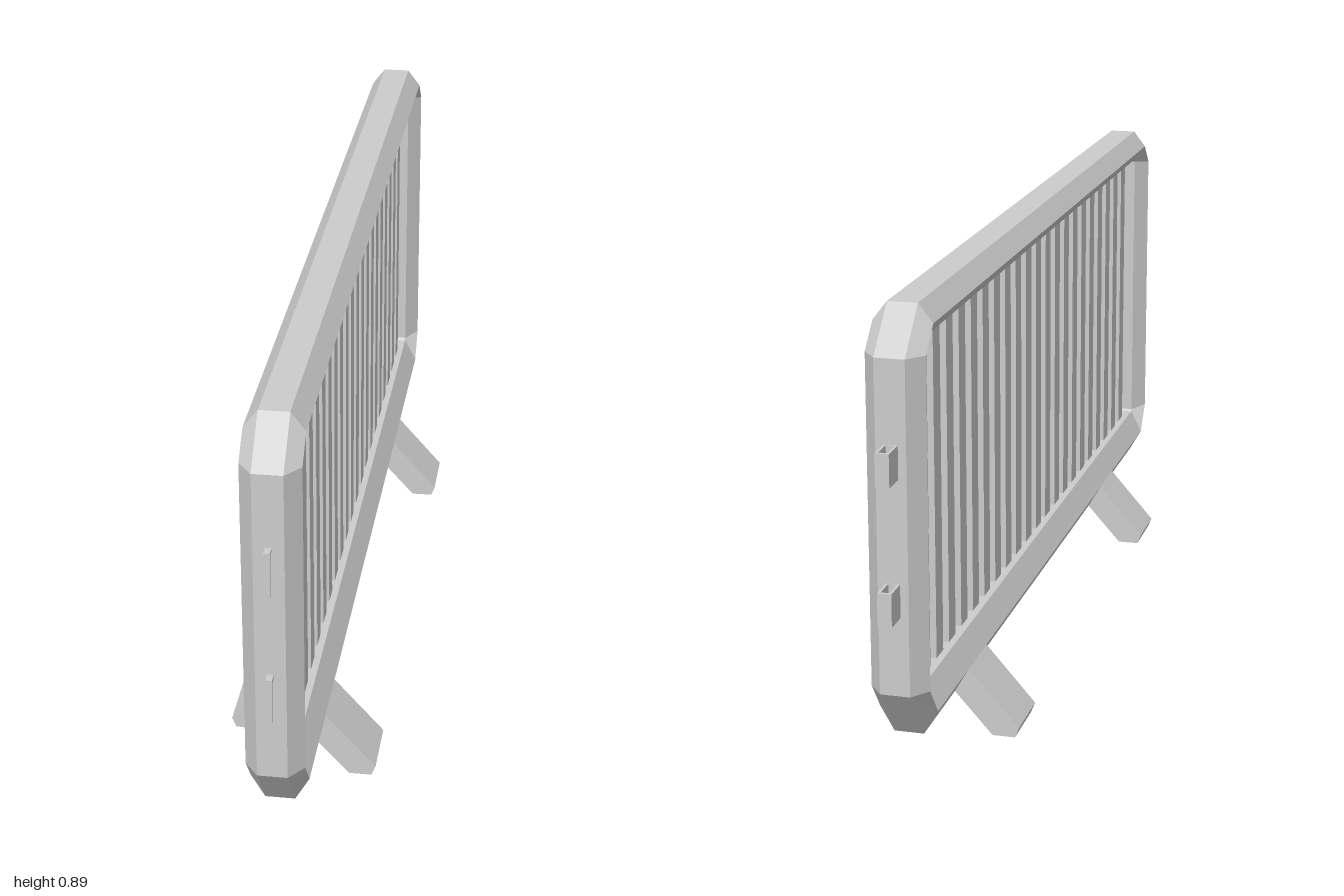
import * as THREE from 'three';

const material = new THREE.MeshStandardMaterial({ color: 0xcccccc, flatShading: true });

function add(parent, name, geometry, x = 0, y = 0, z = 0) {
  const mesh = new THREE.Mesh(geometry, material);
  mesh.name = name;
  mesh.position.set(x, y, z);
  parent.add(mesh);
  return mesh;
}

// Rectangle with cut corners in the z-y plane, anticlockwise seen from +x
function ring(x, front, back, bottom, top, cornerFront, cornerBack, cornerBottom, cornerTop) {
  return [
    [cornerFront, bottom], [cornerBack, bottom], [back, cornerBottom], [back, cornerTop],
    [cornerBack, top], [cornerFront, top], [front, cornerTop], [front, cornerBottom],
  ].map(([z, y]) => [x, y, z]);
}

// Hexagonal section carried around the cut-corner rectangle
function frameGeometry() {
  const outer = (x) => ring(x, 0.98, -0.95, 0.085, 0.89, 0.9, -0.87, 0.19, 0.81);
  const ridge = (x) => ring(x, 0.945, -0.915, 0.132, 0.855, 0.9, -0.87, 0.19, 0.81);
  const inner = (x) => ring(x, 0.91, -0.88, 0.18, 0.82, 0.905, -0.875, 0.185, 0.815);
  const rings = [outer(0.028), ridge(0.055), inner(0.028), inner(-0.028), ridge(-0.055), outer(-0.028)];
  const positions = [];
  rings.forEach((current, k) => {
    const next = rings[(k + 1) % rings.length];
    current.forEach((a, i) => {
      const j = (i + 1) % current.length;
      positions.push(...a, ...current[j], ...next[j], ...a, ...next[j], ...next[i]);
    });
  });
  const geometry = new THREE.BufferGeometry();
  geometry.setAttribute('position', new THREE.Float32BufferAttribute(positions, 3));
  geometry.computeVertexNormals();
  return geometry;
}

// Slanted foot, side = 1 leans to +x and -1 to -x
function footGeometry(side) {
  const outline = [[0, 0.11], [0.024, 0.085], [0.1, 0], [0.144, 0], [0.152, 0.02], [0.054, 0.132], [0.02, 0.14]];
  const shape = new THREE.Shape(outline.map(([x, y]) => new THREE.Vector2(x * side, y)));
  return new THREE.ExtrudeGeometry(shape, { depth: 0.123, bevelEnabled: false });
}

// Square eye, open from top to bottom
function eyeGeometry() {
  const rectangle = (Type, w, y0, y1) => new Type([
    new THREE.Vector2(-w, y0), new THREE.Vector2(w, y0), new THREE.Vector2(w, y1), new THREE.Vector2(-w, y1),
  ]);
  const shape = rectangle(THREE.Shape, 0.013, -0.005, 0.05);
  shape.holes.push(rectangle(THREE.Path, 0.008, 0.002, 0.044));
  const geometry = new THREE.ExtrudeGeometry(shape, { depth: 0.062, bevelEnabled: false });
  return geometry.rotateX(-Math.PI / 2);
}

export function createModel() {
  const model = new THREE.Group();
  model.name = 'crowdBarrier';

  add(model, 'frame', frameGeometry());

  // Upright bars
  const bars = new THREE.Group();
  bars.name = 'bars';
  model.add(bars);
  const barGeometry = new THREE.BoxGeometry(0.03, 0.67, 0.043);
  for (let i = 0; i < 21; i++) add(bars, 'bar', barGeometry, 0, 0.5, 0.837 - i * 0.0821);

  // Two pairs of splayed feet, each pair meeting at z and tied by a thin rod
  const rodGeometry = new THREE.CylinderGeometry(0.004, 0.004, 0.17, 8).rotateZ(Math.PI / 2);
  for (const z of [0.57, -0.543]) {
    const pair = new THREE.Group();
    pair.name = 'footPair';
    model.add(pair);
    add(pair, 'leftFoot', footGeometry(1), 0, 0, z);
    add(pair, 'rightFoot', footGeometry(-1), 0, 0, z - 0.123);
    add(pair, 'tieRod', rodGeometry, 0, 0.059, z);
  }

  // Hooks at the front end
  for (const y of [0.668, 0.41]) {
    const hook = new THREE.Group();
    hook.name = 'hook';
    model.add(hook);
    add(hook, 'hookArm', new THREE.BoxGeometry(0.012, 0.006, 0.025), 0, y - 0.003, 0.9875);
    add(hook, 'hookTongue', new THREE.BoxGeometry(0.012, 0.088, 0.005), 0, y - 0.044, 0.9975);
  }

  // Eyes at the back end
  for (const y of [0.594, 0.34]) add(model, 'eye', eyeGeometry(), 0, y, -0.95);

  return model;
}
